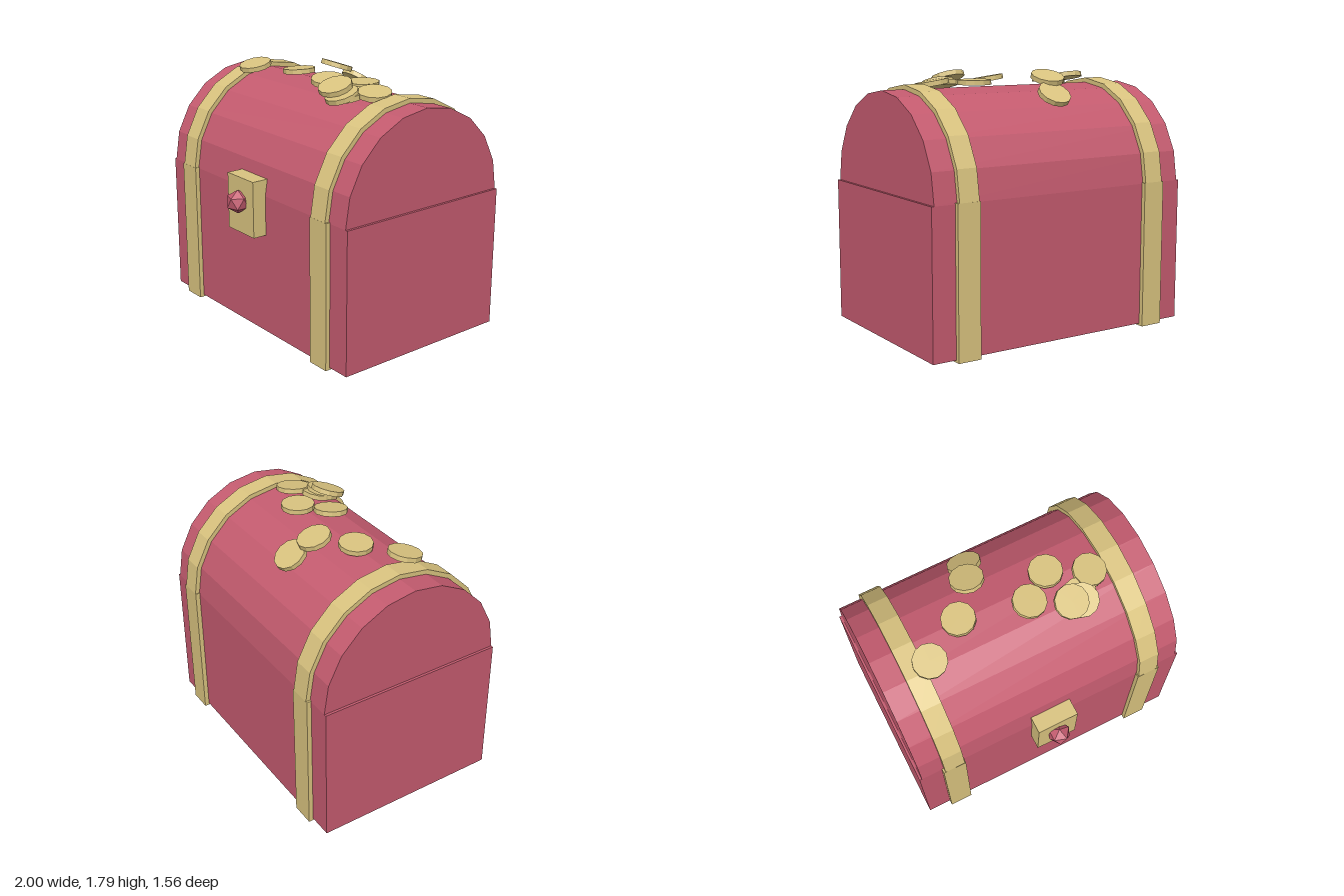
import * as THREE from 'three';

const red = new THREE.MeshStandardMaterial({ color: 0xc45b6f, flatShading: true });
red.name = 'rose red';
const gold = new THREE.MeshStandardMaterial({ color: 0xd9c37f, flatShading: true });
gold.name = 'gold';

const MID_Z = -0.076; // centre line of the chest body
const SEAM_Y = 1.01;  // where the lid meets the body

function add(parent, name, geometry, material, x = 0, y = 0, z = 0) {
  const mesh = new THREE.Mesh(geometry, material);
  mesh.name = name;
  mesh.position.set(x, y, z);
  parent.add(mesh);
  return mesh;
}

// Half-round solid running along x, with ten flat facets over the arch
function archGeometry(radius, width) {
  const points = [];
  for (let i = 0; i <= 10; i++) {
    const a = (i / 10) * Math.PI;
    points.push(new THREE.Vector2(Math.cos(a) * radius, Math.sin(a) * radius));
  }
  const geometry = new THREE.ExtrudeGeometry(new THREE.Shape(points), { depth: width, bevelEnabled: false });
  geometry.translate(0, 0, -width / 2);
  return geometry.rotateY(-Math.PI / 2);
}

export function createModel() {
  const chest = new THREE.Group();
  chest.name = 'treasureChest';

  // Body and arched lid
  add(chest, 'body', new THREE.BoxGeometry(2, 0.995, 1.332), red, 0, 0.5125, MID_Z);
  add(chest, 'lid', archGeometry(0.666, 1.965), red, 0, SEAM_Y, MID_Z);

  // Metal bands around body and lid
  for (const side of [-1, 1]) {
    add(chest, 'bodyBand', new THREE.BoxGeometry(0.165, 1.018, 1.396), gold, side * 0.75, 0.509, MID_Z);
    add(chest, 'lidBand', archGeometry(0.698, 0.145), gold, side * 0.747, SEAM_Y, MID_Z);
  }

  // Lock plate with a gem
  add(chest, 'lockPlate', new THREE.BoxGeometry(0.295, 0.395, 0.12), gold, 0, 0.93, 0.63);
  const gem = new THREE.IcosahedronGeometry(0.083, 0);
  gem.rotateZ(-Math.atan(2 / (1 + Math.sqrt(5))));
  add(chest, 'gem', gem, red, 0, 0.96, 0.712);

  // Loose coins: x, y, z, tilt forward, tilt sideways (radians)
  const coins = [
    [-0.13, 1.63, -0.445, -0.6, 0],
    [-0.18, 1.735, -0.295, -0.33, -0.04],
    [-0.345, 1.7, -0.08, 0, 0.09],
    [-0.633, 1.715, 0.1, 0.22, 0],
    [0.113, 1.72, 0.025, 0.12, -0.13],
    [0.305, 1.71, -0.12, 0, 0],
    [0.565, 1.705, 0, 0.1, -0.14],
    [0.35, 1.735, 0.155, 0.34, -0.05],
    [0.425, 1.69, 0.16, 0.33, 0.06],
    [0.43, 1.688, 0.12, 0.2, 0],
  ];
  const coinGeometry = new THREE.CylinderGeometry(0.116, 0.116, 0.034, 12);
  const pile = new THREE.Group();
  pile.name = 'coins';
  coins.forEach(([x, y, z, forward, sideways], i) => {
    add(pile, 'coin' + (i + 1), coinGeometry, gold, x, y, z).rotation.set(forward, 0, sideways);
  });
  chest.add(pile);

  return chest;
}
